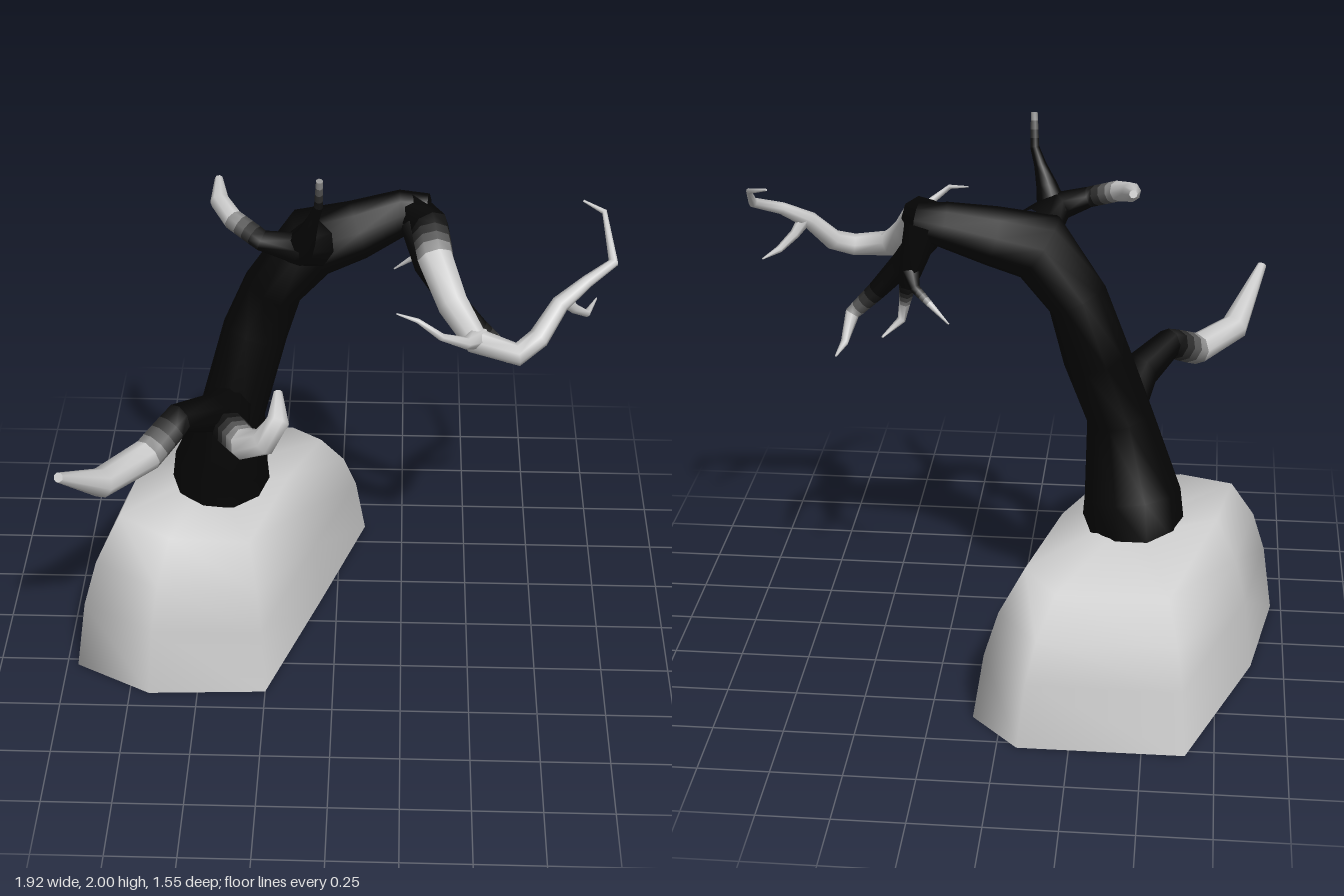
import * as THREE from 'three';

const V = (x, y, z) => new THREE.Vector3(x, y, z);
const BANDS = 4; // colour steps where dark bark fades to pale
const ALL_DARK = 99, ALL_PALE = -BANDS;
const barks = [0x050505, 0x141414, 0x303030, 0x585858, 0x909090, 0xcccccc]
  .map((color) => new THREE.MeshStandardMaterial({ color }));
const stone = new THREE.MeshStandardMaterial({ color: 0xcccccc, side: THREE.DoubleSide });

// Skin a loft over closed rings (counter-clockwise about the path): open start, flat end cap.
// slots[i] is the material index of the span between rings i and i + 1.
function skin(rings, slots) {
  const n = rings[0].length, pos = [], idx = [];
  const geo = new THREE.BufferGeometry();
  const add = (p) => pos.push(p.x, p.y, p.z) / 3 - 1;
  rings.forEach((r) => r.forEach(add));
  for (let i = 0; i < rings.length - 1; i++) {
    const start = idx.length;
    for (let j = 0; j < n; j++) {
      const a = i * n + j, b = i * n + (j + 1) % n;
      idx.push(a, b, a + n, b, b + n, a + n);
    }
    geo.addGroup(start, idx.length - start, slots[i]);
  }
  const end = rings[rings.length - 1], start = idx.length;
  const centre = add(end.reduce((s, p) => s.add(p), V(0, 0, 0)).divideScalar(n));
  const first = end.map(add)[0];
  for (let j = 0; j < n; j++) idx.push(centre, first + j, first + (j + 1) % n);
  geo.addGroup(start, idx.length - start, slots[slots.length - 1]);
  geo.setAttribute('position', new THREE.Float32BufferAttribute(pos, 3));
  geo.setIndex(idx);
  geo.computeVertexNormals();
  return geo;
}

// Tapering limb through [x, y, z, radius] points; dark up to point number fade, pale from the next one.
function limb(name, pts, fade, sides = 8) {
  const path = pts.flatMap((p, i) => (i !== fade ? [p] : Array.from({ length: BANDS }, (_, s) =>
    p.map((v, k) => THREE.MathUtils.lerp(v, pts[i + 1][k], s / BANDS)))));
  const c = path.map((p) => V(p[0], p[1], p[2]));
  const normal = V(0.31, 0.2, 0.93);
  const rings = c.map((p, i) => {
    const before = p.clone().sub(c[Math.max(i - 1, 0)]).normalize();
    const after = c[Math.min(i + 1, c.length - 1)].clone().sub(p).normalize();
    const t = before.add(after).normalize();
    normal.addScaledVector(t, -normal.dot(t)).normalize();
    const side = t.clone().cross(normal);
    return Array.from({ length: sides }, (_, j) => {
      const a = (j / sides) * Math.PI * 2, r = path[i][3];
      return p.clone().addScaledVector(normal, Math.cos(a) * r).addScaledVector(side, Math.sin(a) * r);
    });
  });
  const slots = path.slice(1).map((_, i) => THREE.MathUtils.clamp(i - fade + 1, 0, BANDS + 1));
  const mesh = new THREE.Mesh(skin(rings, slots), barks);
  mesh.name = name;
  return mesh;
}

// Domed hollow boulder: one outline shrunk upwards, with an uneven top rim [x, z, rim height].
function boulder() {
  const outline = [
    [-0.88, -0.17, 0.6], [-0.96, 0.28, 0.595], [-0.68, 0.43, 0.575], [-0.25, 0.41, 0.55],
    [-0.06, -0.13, 0.585], [0.1, -0.6, 0.53], [-0.07, -0.78, 0.5], [-0.65, -0.78, 0.5],
  ];
  const levels = [[0, 1], [0.45, 0.93], [0.73, 0.84], [1, 0.675]];
  const ring = (s, height) => outline.map(([x, z, top]) =>
    V(-0.43 + (x + 0.43) * s, height(top), -0.17 + (z + 0.17) * s));
  const rings = levels.map(([h, s]) => ring(s, (top) => h * top));
  rings.push(ring(0.15, () => 0.58));
  const mesh = new THREE.Mesh(skin(rings, [0, 0, 0, 0]), [stone]);
  mesh.name = 'boulder';
  return mesh;
}

export function createModel() {
  const model = new THREE.Group();
  model.name = 'treeOnBoulder';
  model.add(boulder());

  const tree = new THREE.Group();
  tree.name = 'tree';
  tree.add(
    // Leaning trunk that arches over to the left
    limb('trunk', [
      [-0.435, 0.54, -0.135, 0.185], [-0.43, 0.68, -0.13, 0.172], [-0.375, 0.95, -0.065, 0.118],
      [-0.295, 1.22, -0.17, 0.118], [-0.225, 1.42, -0.145, 0.108], [-0.09, 1.605, -0.135, 0.128],
      [0.07, 1.645, -0.155, 0.105], [0.23, 1.695, -0.195, 0.08], [0.32, 1.705, -0.185, 0.062],
    ], ALL_DARK, 10),
    // Low pair of branches
    limb('lowRightBranch', [
      [-0.38, 0.97, -0.04, 0.09], [-0.44, 1.045, 0.12, 0.07], [-0.54, 1.105, 0.24, 0.055],
      [-0.64, 1.035, 0.36, 0.058], [-0.78, 1.05, 0.55, 0.052], [-0.88, 1.225, 0.76, 0.017],
    ], 2),
    limb('lowFrontBranch', [
      [-0.38, 0.99, 0.0, 0.08], [-0.37, 1.01, 0.16, 0.065], [-0.31, 1.035, 0.285, 0.058],
      [-0.24, 1.08, 0.335, 0.05], [-0.19, 1.15, 0.31, 0.042], [-0.195, 1.195, 0.2, 0.016],
    ], 1),
    // Crown branches over the bend
    limb('crownRightBranch', [
      [-0.08, 1.64, -0.06, 0.085], [-0.15, 1.69, 0.05, 0.052], [-0.25, 1.72, 0.06, 0.036],
      [-0.35, 1.765, 0.0, 0.036], [-0.4, 1.79, -0.08, 0.034], [-0.41, 1.82, -0.19, 0.014],
    ], 2),
    limb('crownUprightTwig', [
      [-0.13, 1.66, 0.02, 0.06], [-0.1, 1.75, 0.08, 0.038], [-0.075, 1.82, 0.1, 0.022],
      [-0.055, 1.88, 0.11, 0.016], [-0.05, 1.995, 0.145, 0.012],
    ], 3),
    // Long outer branch and its twigs
    limb('outerBranch', [
      [0.25, 1.7, -0.2, 0.07], [0.32, 1.69, -0.1, 0.068], [0.34, 1.64, 0.03, 0.064],
      [0.4, 1.54, 0.16, 0.056], [0.48, 1.455, 0.255, 0.046], [0.62, 1.43, 0.295, 0.04],
      [0.69, 1.465, 0.245, 0.037], [0.76, 1.56, 0.18, 0.031], [0.85, 1.62, 0.13, 0.022],
      [0.94, 1.66, 0.07, 0.018], [0.915, 1.76, -0.1, 0.01], [0.845, 1.78, -0.14, 0.004],
    ], 1),
    limb('outerFrontTwig', [
      [0.49, 1.46, 0.24, 0.04], [0.44, 1.5, 0.34, 0.022], [0.36, 1.56, 0.4, 0.014],
      [0.28, 1.625, 0.405, 0.009], [0.21, 1.635, 0.38, 0.003],
    ], ALL_PALE, 6),
    limb('outerBackTwig', [
      [0.775, 1.57, 0.17, 0.026], [0.81, 1.52, 0.14, 0.018], [0.86, 1.475, 0.1, 0.013],
      [0.9, 1.475, 0.0, 0.003],
    ], ALL_PALE, 6),
    // Hanging branches under the trunk end
    limb('hangingFrontBranch', [
      [0.28, 1.68, -0.14, 0.065], [0.32, 1.58, -0.03, 0.055], [0.4, 1.47, 0.02, 0.045],
      [0.5, 1.36, 0.02, 0.034], [0.59, 1.27, 0.02, 0.026], [0.61, 1.185, -0.05, 0.014],
      [0.62, 1.185, -0.17, 0.004],
    ], 3),
    limb('hangingBackBranch', [
      [0.3, 1.69, -0.2, 0.065], [0.33, 1.58, -0.225, 0.048], [0.355, 1.48, -0.22, 0.03],
      [0.37, 1.4, -0.185, 0.02], [0.385, 1.33, -0.17, 0.015], [0.44, 1.3, -0.26, 0.004],
    ], 2, 6),
    limb('hangingBackTwig', [
      [0.34, 1.54, -0.23, 0.035], [0.32, 1.49, -0.275, 0.018], [0.27, 1.45, -0.305, 0.012],
      [0.2, 1.385, -0.33, 0.003],
    ], 1, 6),
  );
  model.add(tree);
  return model;
}
